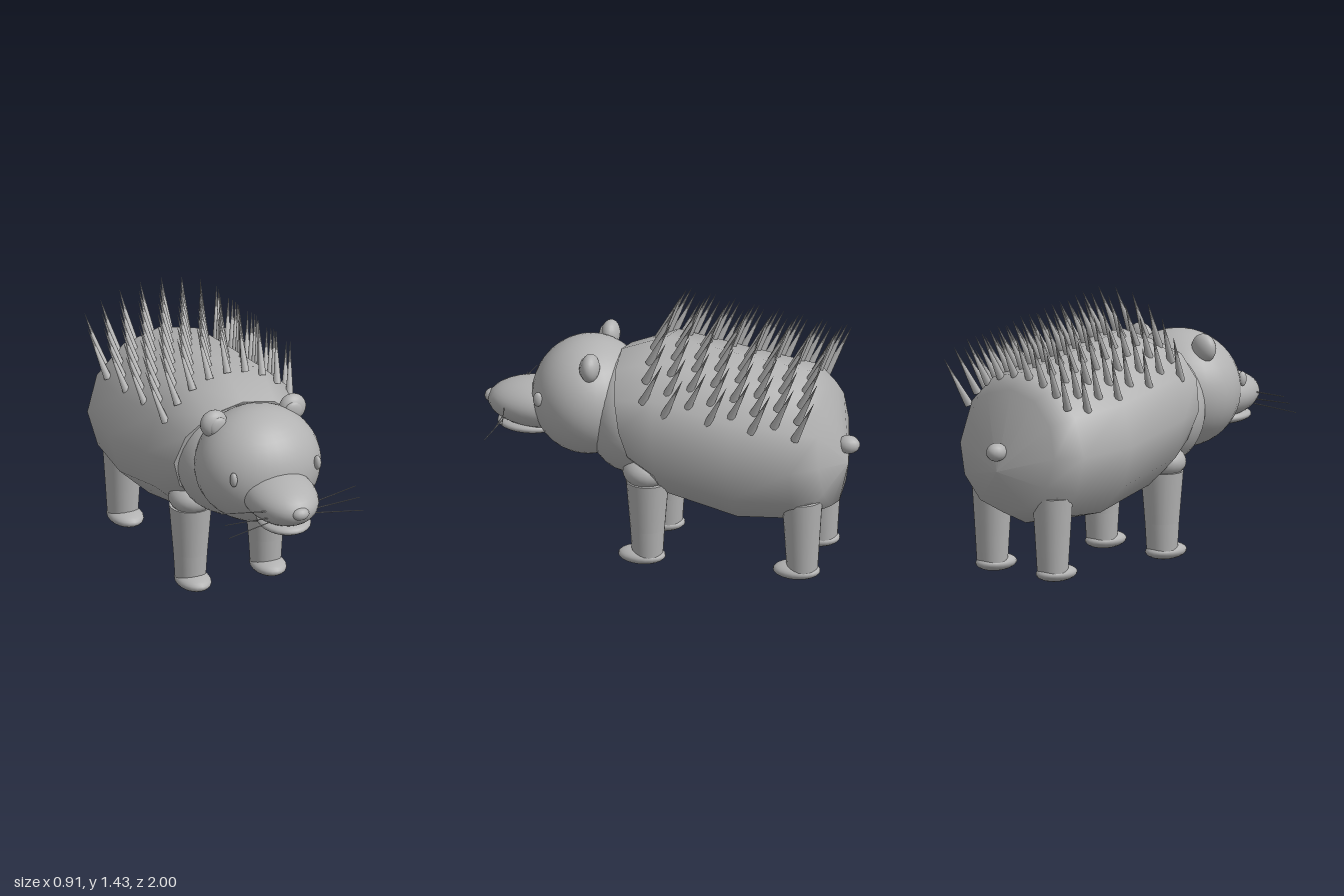
import * as THREE from 'three';

const gray = new THREE.MeshStandardMaterial({ color: 0xb2b2b2 });
gray.name = 'warm gray';

function add(parent, name, geometry, x = 0, y = 0, z = 0) {
  const mesh = new THREE.Mesh(geometry, gray);
  mesh.name = name;
  mesh.position.set(x, y, z);
  parent.add(mesh);
  return mesh;
}

function ball(parent, name, [x, y, z], [rx, ry, rz], segments = 20) {
  const g = new THREE.SphereGeometry(1, segments, Math.ceil(segments * 0.7));
  g.scale(rx, ry, rz);
  return add(parent, name, g, x, y, z);
}

// Tapered rod between two points
function rod(parent, name, from, to, r0, r1, sides) {
  const a = new THREE.Vector3(...from), b = new THREE.Vector3(...to);
  const dir = b.clone().sub(a);
  const mesh = add(parent, name, new THREE.CylinderGeometry(r1, r0, dir.length(), sides));
  mesh.position.copy(a).add(b).multiplyScalar(0.5);
  mesh.quaternion.setFromUnitVectors(new THREE.Vector3(0, 1, 0), dir.normalize());
  return mesh;
}

// Twelve-sided body lofted through tilted elliptical rings, front to back
function bodyGeometry() {
  const n = 12;
  // [top z, top y, bottom z, bottom y, half width]
  const front = [0.27, 1.1, 0.13, 0.48, 0.365];
  const rings = [
    [0.2, 0.79, 0.2, 0.79, 0], front, front,
    [0.02, 1.2, 0.0, 0.36, 0.44],
    [-0.4, 1.13, -0.4, 0.26, 0.455],
    [-0.74, 1.08, -0.72, 0.28, 0.425],
    [-0.83, 1.0, -0.89, 0.36, 0.335],
    [-0.94, 0.58, -0.94, 0.58, 0],
  ];
  const pos = [], index = [];
  rings.forEach(([tz, ty, bz, by, w], i) => {
    for (let j = 0; j < n; j++) {
      const a = (j / n) * Math.PI * 2, c = Math.cos(a);
      pos.push(w * Math.sin(a), (ty + by) / 2 + c * (ty - by) / 2, (tz + bz) / 2 + c * (tz - bz) / 2);
      if (i === rings.length - 1 || i === 1) continue;
      const k = (j + 1) % n, p = i * n, q = p + n;
      index.push(p + j, p + k, q + j, p + k, q + k, q + j);
    }
  });
  const g = new THREE.BufferGeometry();
  g.setAttribute('position', new THREE.Float32BufferAttribute(pos, 3));
  g.setIndex(index);
  g.computeVertexNormals();
  return g;
}

function addLeg(parent, name, x, z, topY, r) {
  const leg = new THREE.Group();
  leg.name = name;
  leg.position.set(x, 0, z);
  parent.add(leg);
  ball(leg, 'legJoint', [0, topY + 0.05, 0.01], [r + 0.008, 0.085, r + 0.008]);
  rod(leg, 'upperLeg', [0, 0.2, 0], [0, topY, 0], 0.09, r, 20);
  rod(leg, 'lowerLeg', [0, 0.05, 0], [0, 0.2, 0], 0.081, 0.09, 20);
  ball(leg, 'foot', [0, 0.046, 0.03], [0.09, 0.044, 0.125]);
}

export function createModel() {
  const model = new THREE.Group();
  model.name = 'spinyAnimal';

  add(model, 'body', bodyGeometry());
  ball(model, 'neck', [0, 0.77, 0.2], [0.34, 0.33, 0.25], 28);
  ball(model, 'tail', [0, 0.685, -0.94], [0.05, 0.048, 0.06], 14);

  // Head and muzzle
  ball(model, 'head', [0, 0.83, 0.44], [0.336, 0.31, 0.3], 32);
  ball(model, 'muzzle', [0, 0.758, 0.7], [0.188, 0.128, 0.28], 28);
  ball(model, 'lowerJaw', [0, 0.64, 0.76], [0.135, 0.042, 0.17], 24);
  ball(model, 'nose', [0, 0.765, 0.963], [0.048, 0.034, 0.037], 16);

  for (const s of [1, -1]) {
    const side = s > 0 ? 'left' : 'right';
    ball(model, side + 'Eye', [s * 0.24, 0.875, 0.66], [0.019, 0.04, 0.025], 14);
    ball(model, side + 'Ear', [s * 0.225, 1.075, 0.385], [0.075, 0.075, 0.05]);
    ball(model, side + 'InnerEar', [s * 0.215, 1.07, 0.42], [0.05, 0.052, 0.022], 16);

    // Whiskers: [start y, end y, end z]
    for (const [y0, y1, z1] of [[0.763, 0.778, 0.815], [0.725, 0.735, 0.865], [0.7, 0.68, 0.91]]) {
      rod(model, side + 'Whisker', [s * 0.13, y0, 0.865], [s * 0.385, y1, z1], 0.003, 0.002, 6);
    }

    addLeg(model, side + 'FrontLeg', s * 0.215, 0.08, 0.47, 0.112);
    addLeg(model, side + 'BackLeg', s * 0.215, -0.745, 0.45, 0.106);
  }

  // Staggered rows of spines leaning backward
  const spines = new THREE.Group();
  spines.name = 'spines';
  model.add(spines);
  const rows = 8, columns = 9, spread = 0.95;
  for (let r = 0; r < rows; r++) {
    const z = 0.075 - r * 0.117;
    const top = 1.195 - r * 0.0185;
    const step = (2 * spread) / (columns - 1);
    for (let c = 0; c < columns; c++) {
      const a = -spread + (c + (r % 2) * 0.5) * step;
      const x = 0.435 * Math.sin(a);
      const y = 0.69 + (top - 0.69) * Math.cos(a) - 0.015;
      rod(spines, 'spine', [x, y, z], [x + 0.075 * Math.sin(a), y + 0.25, z - 0.12], 0.022, 0.0005, 8);
    }
  }
  return model;
}
